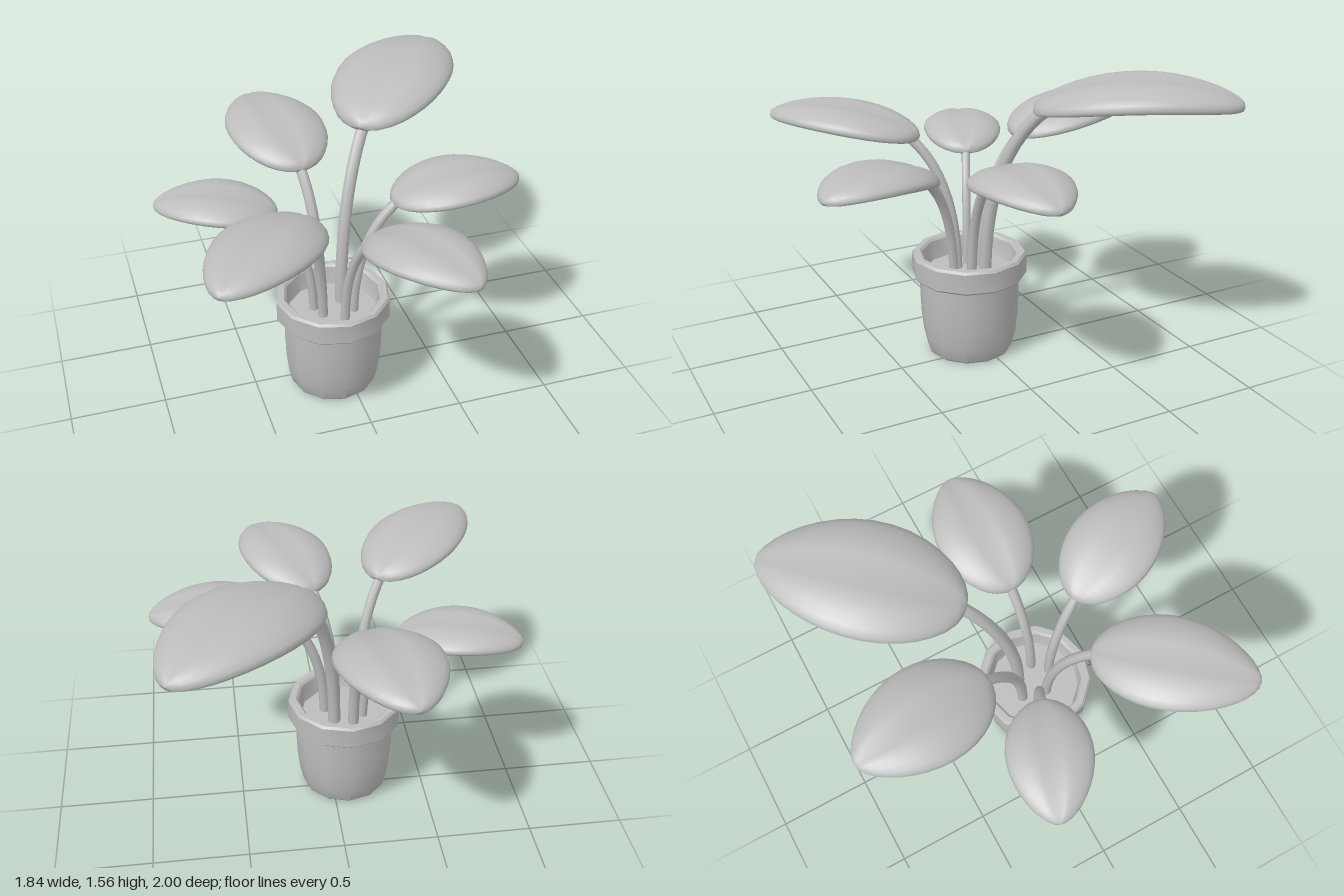
import * as THREE from 'three';
import { toCreasedNormals } from 'three/addons/utils/BufferGeometryUtils.js';

const clay = new THREE.MeshStandardMaterial({ color: 0xbcbcbc });
clay.name = 'plain grey';

function add(parent, name, geometry) {
  const mesh = new THREE.Mesh(geometry, clay);
  mesh.name = name;
  parent.add(mesh);
  return mesh;
}

// Twelve-sided turned part from [radius, height] pairs
function turned(profile) {
  const points = profile.map(([r, y]) => new THREE.Vector2(r, y));
  return toCreasedNormals(new THREE.LatheGeometry(points, 12), 0.6);
}

// Thick cushioned egg-shaped blade: arched lengthwise, grooved along the midrib, with round drooping edges
function bladeGeometry(base, peak, tip, halfWidth, thick) {
  const rows = 18, ring = 24;
  const along = new THREE.Vector3(tip[0] - base[0], 0, tip[2] - base[2]);
  const side = new THREE.Vector3(0, 1, 0).cross(along).normalize();
  const midControl = 2 * peak - (base[1] + tip[1]) / 2;
  const positions = [], index = [];
  for (let i = 0; i <= rows; i++) {
    const u = (1 - Math.cos(Math.PI * i / rows)) / 2;
    const swell = Math.pow(Math.max(0, Math.sin(Math.PI * Math.pow(u, 0.87))), 0.55);
    const spine = (1 - u) ** 2 * base[1] + 2 * u * (1 - u) * midControl + u * u * tip[1];
    for (let j = 0; j < ring; j++) {
      const a = j / ring * Math.PI * 2;
      const s = Math.cos(a), m = Math.abs(s), h = Math.sin(a);
      const fold = halfWidth * swell * (0.07 * Math.sin(Math.PI * Math.pow(m, 0.8)) - 0.06 * m * m);
      const across = s * halfWidth * swell;
      positions.push(
        base[0] + along.x * u + side.x * across,
        spine + fold + thick * Math.sqrt(swell) * Math.sign(h) * Math.pow(Math.abs(h), 0.75),
        base[2] + along.z * u + side.z * across);
      if (i < rows) {
        const k = (j + 1) % ring, p = i * ring, q = p + ring;
        index.push(p + j, p + k, q + j, p + k, q + k, q + j);
      }
    }
  }
  const geometry = new THREE.BufferGeometry();
  geometry.setAttribute('position', new THREE.Float32BufferAttribute(positions, 3));
  geometry.setIndex(index);
  geometry.computeVertexNormals();
  return geometry;
}

// Each leaf: stem root on the soil, blade base and tip, arch height, half width, thickness, stem radius
const leaves = [
  { name: 'backLeftLeaf', root: [-0.01, 0.0], base: [0.15, 1.37, -0.19], tip: [0.82, 1.44, -0.97], peak: 1.485, width: 0.305, thick: 0.06 },
  { name: 'backLeaf', root: [-0.11, -0.03], base: [-0.14, 1.15, -0.24], tip: [-0.25, 1.23, -1.0], peak: 1.245, width: 0.262, thick: 0.05 },
  { name: 'rightLeaf', root: [-0.17, 0.03], base: [-0.33, 1.025, -0.05], tip: [-0.92, 1.055, -0.28], peak: 1.09, width: 0.215, thick: 0.044 },
  { name: 'frontRightLeaf', root: [-0.14, 0.1], base: [-0.265, 1.165, 0.26], tip: [-0.82, 1.24, 0.87], peak: 1.255, width: 0.245, thick: 0.05 },
  { name: 'frontLeaf', root: [-0.04, 0.17], base: [0.05, 1.06, 0.345], tip: [0.33, 1.125, 0.99], peak: 1.155, width: 0.232, thick: 0.046 },
  { name: 'leftLeaf', root: [0.03, 0.1], base: [0.23, 1.085, 0.1], tip: [0.92, 1.12, 0.1], peak: 1.16, width: 0.24, thick: 0.046 },
];

export function createModel() {
  const plant = new THREE.Group();
  plant.name = 'pottedPlant';

  // Pot with a heavy rim, an open top and soil inside
  const pot = new THREE.Group();
  pot.name = 'pot';
  pot.position.set(-0.075, 0, 0.063);
  plant.add(pot);
  add(pot, 'potBody', turned([
    [0, 0], [0.218, 0], [0.23, 0.012], [0.25, 0.1], [0.261, 0.2], [0.266, 0.32], [0.266, 0.44],
  ]));
  add(pot, 'potRim', turned([
    [0.25, 0.435], [0.295, 0.435], [0.306, 0.446], [0.306, 0.552], [0.295, 0.565],
    [0.265, 0.565], [0.252, 0.552], [0.238, 0.45], [0.225, 0.43],
  ]));
  add(pot, 'soil', turned([[0.24, 0.45], [0, 0.45]]));

  // Leaves on bending stems
  for (const leaf of leaves) {
    const group = new THREE.Group();
    group.name = leaf.name;
    plant.add(group);
    const [x, z] = leaf.root;
    const base = new THREE.Vector3(...leaf.base);
    const end = base.clone().lerp(new THREE.Vector3(...leaf.tip), 0.08);
    end.y = base.y + 0.01;
    const path = new THREE.QuadraticBezierCurve3(
      new THREE.Vector3(x, 0.42, z),
      new THREE.Vector3(x, 0.42 + (end.y - 0.42) * 0.74, z),
      end);
    add(group, 'stem', new THREE.TubeGeometry(path, 12, 0.11 * leaf.width, 8));
    add(group, 'blade', bladeGeometry(leaf.base, leaf.peak, leaf.tip, leaf.width, leaf.thick));
  }
  return plant;
}
